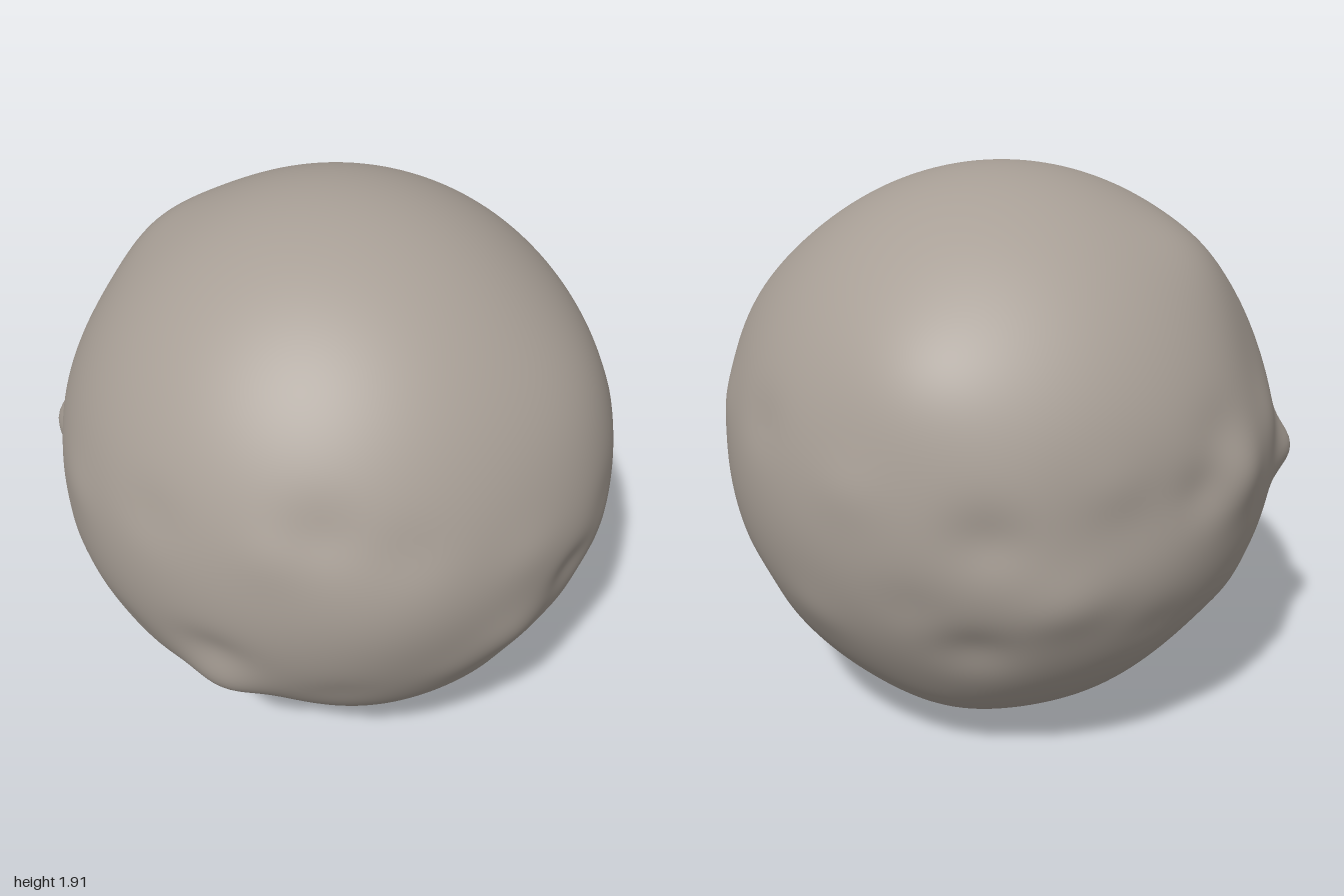
import * as THREE from 'three';
import { mergeVertices } from 'three/addons/utils/BufferGeometryUtils.js';

const RADIUS = 0.957;

// A bump (or dent, if the height is negative) at a longitude and latitude in degrees;
// longitude 0 is the front and 90 the left side
function feature(lon, lat, height, width) {
  const a = THREE.MathUtils.degToRad(lon), b = THREE.MathUtils.degToRad(lat);
  const dir = new THREE.Vector3(Math.sin(a) * Math.cos(b), Math.sin(b), Math.cos(a) * Math.cos(b));
  return { dir, height, width };
}

// Broad swells and flats
const swells = [
  [90, 26, 0.03, 0.35], [83, 0, 0.03, 0.4], [38, 0, 0.02, 0.3],
  [-90, 47, 0.025, 0.22], [-90, 22, -0.02, 0.25], [-90, -43, -0.05, 0.35],
  [0, -46, -0.035, 0.3], [180, -52, 0.02, 0.25], [180, 30, 0.025, 0.3],
  [-139, 3, -0.03, 0.25],
];

// Distinct knobs, ridges and dents
const details = [
  [-75, -2, 0.07, 0.13], [-111, 5, 0.035, 0.16], [-57, -24, 0.025, 0.13],
  [0, -15, -0.022, 0.13], [0, -26, 0.035, 0.14], [22, 18, -0.015, 0.14],
  [78, -6, -0.025, 0.12], [95, -16, -0.022, 0.12], [62, -14, 0.02, 0.14],
  [77, -29, -0.025, 0.13], [104, -24, 0.025, 0.14],
  [-120, 5, -0.025, 0.13], [-165, 0, -0.02, 0.14], [-169, -25, -0.025, 0.14],
  [-149, -12, 0.018, 0.15],
];

// Fine unevenness around the middle: two staggered rows of alternating shallow bumps and dents
function roughBelt() {
  const belt = [];
  for (let i = 0; i < 28; i++) {
    const lat = (i % 2 ? 9 : -19) + 6 * Math.sin(i * 2.4);
    const height = (i % 4 < 2 ? 1 : -1) * 0.008;
    belt.push(feature(i * 360 / 28, lat, height, 0.13));
  }
  return belt;
}

// Distance from the centre along a unit direction; features are wider than they are tall
function radiusAt(n, features) {
  let r = RADIUS;
  for (const { dir, height, width } of features) {
    const dx = n.x - dir.x, dy = (n.y - dir.y) * 1.25, dz = n.z - dir.z;
    r += height * Math.exp(-(dx * dx + dy * dy + dz * dz) / (width * width));
  }
  return r;
}

export function createModel() {
  const group = new THREE.Group();
  group.name = 'asteroid';
  const stone = new THREE.MeshStandardMaterial({ color: 0xa89f96 });
  stone.name = 'warm grey stone';

  const features = [...swells, ...details].map((f) => feature(...f)).concat(roughBelt());

  // Evenly divided sphere with shared corners for smooth shading
  let geometry = new THREE.IcosahedronGeometry(1, 40);
  geometry.deleteAttribute('normal');
  geometry.deleteAttribute('uv');
  geometry = mergeVertices(geometry, 1e-5);

  const pos = geometry.attributes.position;
  const n = new THREE.Vector3();
  for (let i = 0; i < pos.count; i++) {
    n.fromBufferAttribute(pos, i).normalize();
    n.multiplyScalar(radiusAt(n, features));
    pos.setXYZ(i, n.x, n.y, n.z);
  }

  // Rest on the ground and centre
  geometry.computeBoundingBox();
  const { min, max } = geometry.boundingBox;
  geometry.translate(-(min.x + max.x) / 2, -min.y, -(min.z + max.z) / 2);
  geometry.computeVertexNormals();

  const rock = new THREE.Mesh(geometry, stone);
  rock.name = 'rockBody';
  group.add(rock);
  return group;
}
